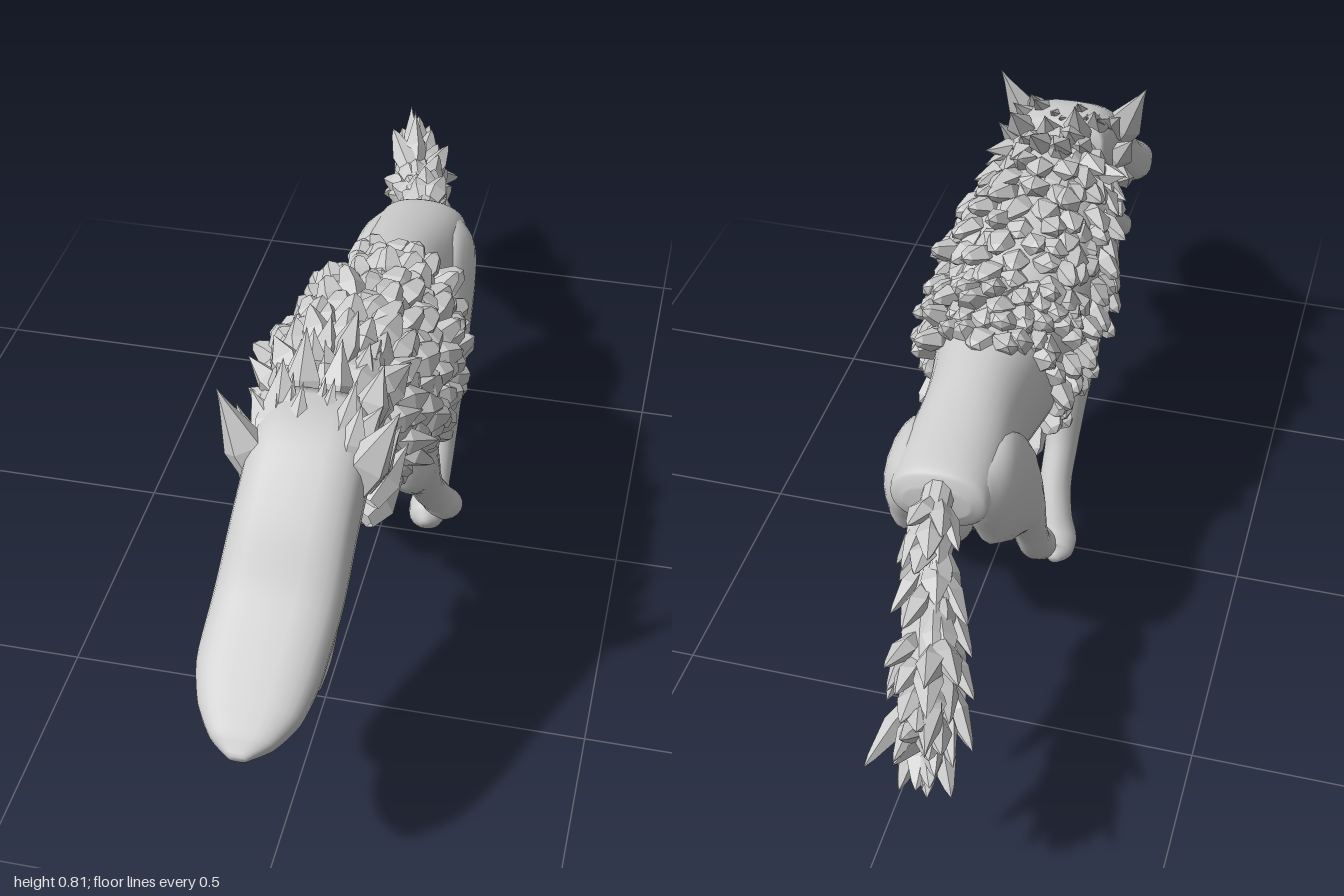
import * as THREE from 'three';
import { mergeGeometries } from 'three/addons/utils/BufferGeometryUtils.js';

const V = (x, y, z) => new THREE.Vector3(x, y, z);
const smooth = new THREE.MeshStandardMaterial({ color: 0xcccccc });
const faceted = new THREE.MeshStandardMaterial({ color: 0xcccccc, flatShading: true, side: THREE.DoubleSide });

let seed = 7;
const rand = () => (seed = (seed * 16807) % 2147483647) / 2147483647;
const vary = (a) => (rand() * 2 - 1) * a;

// Smooth tube through sections [x, y, z, halfWidth, halfHeight]; returns a sampler of its skin
function skin(sections, power = 2) {
  const path = new THREE.CatmullRomCurve3(sections.map(s => V(s[0], s[1], s[2])));
  const size = new THREE.CatmullRomCurve3(sections.map(s => V(s[3], s[4], 0)));
  const bend = (c) => Math.sign(c) * Math.pow(Math.abs(c), 2 / power);
  return (t, angle) => {
    const centre = path.getPoint(t), r = size.getPoint(t), along = path.getTangent(t);
    const up = V(0, along.z, -along.y).normalize();
    const out = V(bend(Math.cos(angle)) * Math.max(r.x, 0.002), 0, 0)
      .addScaledVector(up, bend(Math.sin(angle)) * Math.max(r.y, 0.002));
    return { point: centre.clone().add(out), normal: out.clone().normalize(), along, centre };
  };
}

function loft(sections, power = 2, sides = 24, steps = 40) {
  const at = skin(sections, power), pos = [], idx = [];
  for (let i = 0; i <= steps; i++)
    for (let j = 0; j < sides; j++) pos.push(...at(i / steps, j / sides * Math.PI * 2).point.toArray());
  for (let i = 0; i < steps; i++)
    for (let j = 0; j < sides; j++) {
      const a = i * sides + j, b = i * sides + (j + 1) % sides;
      idx.push(a, b, a + sides, b, b + sides, a + sides);
    }
  // End caps
  const n = pos.length / 3, last = steps * sides;
  pos.push(...at(0, 0).centre.toArray(), ...at(1, 0).centre.toArray());
  for (let j = 0; j < sides; j++) {
    const k = (j + 1) % sides;
    idx.push(n, k, j, n + 1, last + j, last + k);
  }
  const g = new THREE.BufferGeometry();
  g.setAttribute('position', new THREE.Float32BufferAttribute(pos, 3));
  g.setIndex(idx);
  g.computeVertexNormals();
  return g;
}

// One lock of fur, flattened along `flat`; `blunt` sets how wide its end stays
function lock(base, dir, length, width, thick, flat, blunt) {
  const g = new THREE.LatheGeometry(
    [[0.7, 0], [1, 0.4], [blunt, 0.85], [0, 1]].map(p => new THREE.Vector2(...p)), 5, rand() * 6);
  g.scale(width, length, thick);
  const y = dir.clone().normalize();
  const x = y.clone().cross(flat).normalize();
  const z = x.clone().cross(y);
  return g.applyMatrix4(new THREE.Matrix4().makeBasis(x, y, z).setPosition(base));
}
const lockTo = (base, tip, width, thick) => {
  const d = tip.clone().sub(base);
  return lock(base, d, d.length(), width, thick, V(0, 0.3, 1), 0.2);
};

export function createModel() {
  const model = new THREE.Group();
  const add = (name, geometry, material = smooth) => {
    const m = new THREE.Mesh(geometry, material);
    m.name = name;
    model.add(m);
  };

  // Trunk from rump to neck
  const trunk = [
    [0, .48, -.46, .06, .03], [0, .48, -.445, .092, .062], [0, .478, -.33, .1, .095], [0, .475, -.2, .1, .13],
    [0, .475, -.08, .118, .15], [0, .485, .05, .145, .165], [0, .53, .18, .155, .165],
    [0, .58, .3, .143, .145], [0, .62, .42, .108, .115], [0, .64, .53, .08, .07]];
  add('body', loft(trunk, 2.2, 32, 48));

  // Shaggy mane of chunky locks covering shoulders, chest and neck
  const at = skin(trunk, 2.2), mane = [];
  const rows = 15, perRow = 20;
  for (let i = 0; i < rows; i++)
    for (let j = 0; j < perRow; j++) {
      const a = (j + (i % 2) / 2 + vary(.3)) / perRow * Math.PI * 2;
      // The coat reaches furthest back along the spine
      const start = .475 - .07 * Math.max(0, Math.sin(a));
      const t = start + (.95 - start) * (i + vary(.3) + .3) / rows;
      const { point, normal, along } = at(t, a);
      const neck = Math.max(0, (t - .72) / .23);
      const dir = normal.clone().multiplyScalar(.6 + vary(.3)).addScaledVector(along, -.75)
        .add(V(vary(.3), vary(.3), vary(.2)));
      mane.push(lock(point.addScaledVector(normal, -.012), dir, .064 + vary(.016) + neck * .04,
        .031 + vary(.006), .024, normal, .55 - neck * .4));
    }
  add('mane', mergeGeometries(mane), faceted);

  // Long flat-sided snout
  add('head', loft([
    [0, .685, .46, .085, .055], [0, .655, .55, .105, .078], [-.005, .588, .65, .107, .068],
    [-.012, .497, .75, .109, .058], [-.02, .436, .85, .106, .052], [-.02, .402, .92, .088, .04],
    [-.02, .385, .97, .055, .025], [-.02, .377, 1, .015, .008]], 3, 28, 36));
  // Open lower jaw with a blunt chin
  add('lowerJaw', loft([
    [0, .56, .44, .06, .035], [-.01, .48, .55, .085, .035], [-.015, .405, .64, .09, .033],
    [-.02, .345, .715, .09, .032], [-.02, .31, .76, .08, .03], [-.02, .287, .785, .055, .022],
    [-.02, .278, .795, .02, .008]], 3, 24, 24));

  // Pointed ears with smaller tufts beside them
  for (const s of [1, -1]) {
    add(s > 0 ? 'leftEar' : 'rightEar', mergeGeometries([
      lockTo(V(s * .07, .61, .6), V(s * .157, .785, .57), .042, .026),
      lockTo(V(s * .05, .65, .58), V(s * .115, .745, .51), .042, .022),
      lockTo(V(s * .09, .6, .56), V(s * .145, .7, .5), .03, .024),
      lockTo(V(s * .1, .57, .56), V(s * .15, .63, .46), .03, .024),
      lockTo(V(s * .09, .52, .55), V(s * .14, .54, .45), .03, .024)]), faceted);
  }

  // Crest of broad tufts swept back over the crown and nape
  const crest = [];
  for (let i = 0; i < 7; i++) {
    const x = -.078 + i * .026;
    crest.push(lockTo(V(x * .9, .665, .6), V(x * 1.1 + vary(.01), .765 + vary(.015), .5 + vary(.05)), .03, .024));
  }
  for (const [x, y, z] of [[-.04, .815, .41], [.02, .79, .4], [.1, .77, .43], [-.07, .78, .46], [.06, .76, .36], [-.02, .77, .33]])
    crest.push(lockTo(V(x * .8, .68, z + .07), V(x, y, z), .032, .026));
  add('crest', mergeGeometries(crest), faceted);

  // Legs gathered under the belly: front pair swept back, hind pair swept forward
  const legs = {
    FrontLeg: [
      [.085, .43, .22, .03, .05], [.1, .37, .18, .046, .08], [.104, .29, .12, .04, .06], [.106, .22, .075, .034, .042],
      [.106, .15, .025, .033, .036], [.116, .1, -.01, .034, .034], [.126, .063, -.033, .04, .036],
      [.13, .042, -.06, .035, .03], [.13, .036, -.085, .01, .01]],
    HindLeg: [
      [.065, .5, -.44, .02, .03], [.074, .475, -.4, .044, .068], [.084, .435, -.335, .048, .108],
      [.092, .365, -.262, .044, .098], [.098, .285, -.207, .039, .06], [.1, .2, -.172, .034, .038],
      [.1, .13, -.135, .032, .036], [.098, .075, -.085, .033, .034], [.096, .045, -.035, .04, .043],
      [.096, .044, -.002, .034, .034], [.096, .044, .018, .008, .008]],
  };
  for (const [name, sections] of Object.entries(legs))
    for (const s of [1, -1])
      add((s > 0 ? 'left' : 'right') + name, loft(sections.map(([x, ...rest]) => [s * x, ...rest]), 2, 20, 36));

  // Tail core and its ragged brush
  const tail = [
    [0, .505, -.43, .03, .03], [-.01, .48, -.52, .03, .032], [-.04, .425, -.62, .036, .042],
    [-.07, .385, -.74, .045, .058], [-.1, .36, -.86, .03, .045], [-.11, .36, -.91, .01, .01]];
  add('tail', loft(tail, 2, 10, 14), faceted);
  const tailAt = skin(tail), brush = [];
  for (let i = 0; i < 11; i++)
    for (let j = 0; j < 6; j++) {
      const t = .12 + .75 * i / 10, a = (j + (i % 2) / 2 + vary(.3)) / 6 * Math.PI * 2;
      const { point, normal, along } = tailAt(t, a);
      const dir = along.clone().addScaledVector(normal, .45 + vary(.3));
      const length = Math.min(.085 + t * .06 + vary(.03), (point.z + .97) / 1.02);
      brush.push(lock(point.addScaledVector(normal, -.014), dir, length, .027, .02, normal, .35));
    }
  // Longest locks at the tip
  for (const [from, to] of [
    [[-.1, .39, -.82], [-.14, .44, -1]], [[-.09, .32, -.74], [-.12, .235, -.85]],
    [[-.08, .41, -.74], [-.11, .485, -.9]], [[-.1, .36, -.82], [-.12, .31, -.96]]])
    brush.push(lockTo(V(...from), V(...to), .026, .026));
  add('tailBrush', mergeGeometries(brush), faceted);

  return model;
}
